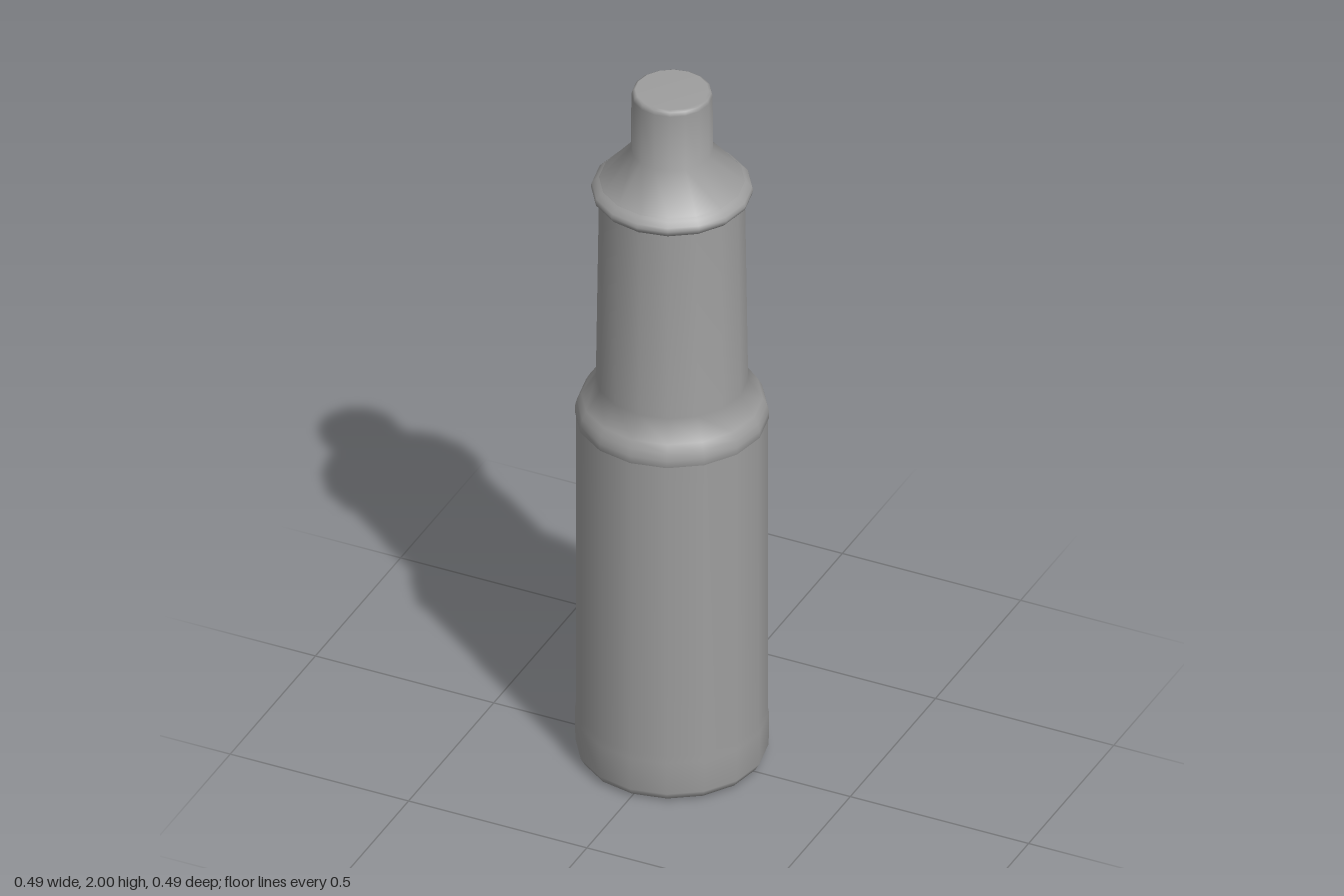
import * as THREE from 'three';

const SIDES = 16;
const material = new THREE.MeshStandardMaterial({ color: 0x9e9e9e });

// Revolve a [radius, height] profile, listed from bottom to top
function turned(name, profile) {
  const points = profile.map(([r, y]) => new THREE.Vector2(r, y));
  const mesh = new THREE.Mesh(new THREE.LatheGeometry(points, SIDES), material);
  mesh.name = name;
  return mesh;
}

export function createModel() {
  const group = new THREE.Group();
  group.name = 'bottle';

  // Straight lower body with a softly rounded, slightly wider foot
  group.add(turned('body', [
    [0, 0], [0.215, 0], [0.234, 0.006], [0.245, 0.026],
    [0.246, 0.12], [0.243, 0.14], [0.243, 1.015],
  ]));

  // Rounded shoulder, slightly proud of the body, flowing into the tapered neck
  group.add(turned('shoulderAndNeck', [
    [0.24, 1.012], [0.246, 1.015], [0.246, 1.035], [0.241, 1.055],
    [0.23, 1.075], [0.193, 1.13], [0.185, 1.685],
  ]));

  // Rolled collar under the cap
  group.add(turned('collar', [
    [0.183, 1.683], [0.196, 1.685], [0.204, 1.694], [0.206, 1.703],
    [0.203, 1.713], [0.192, 1.724], [0.185, 1.73],
  ]));

  // Conical cap running into the spout
  group.add(turned('cap', [
    [0.187, 1.727], [0.182, 1.733], [0.104, 1.822],
    [0.103, 1.985], [0.1, 1.996], [0.093, 2], [0, 2],
  ]));

  return group;
}
